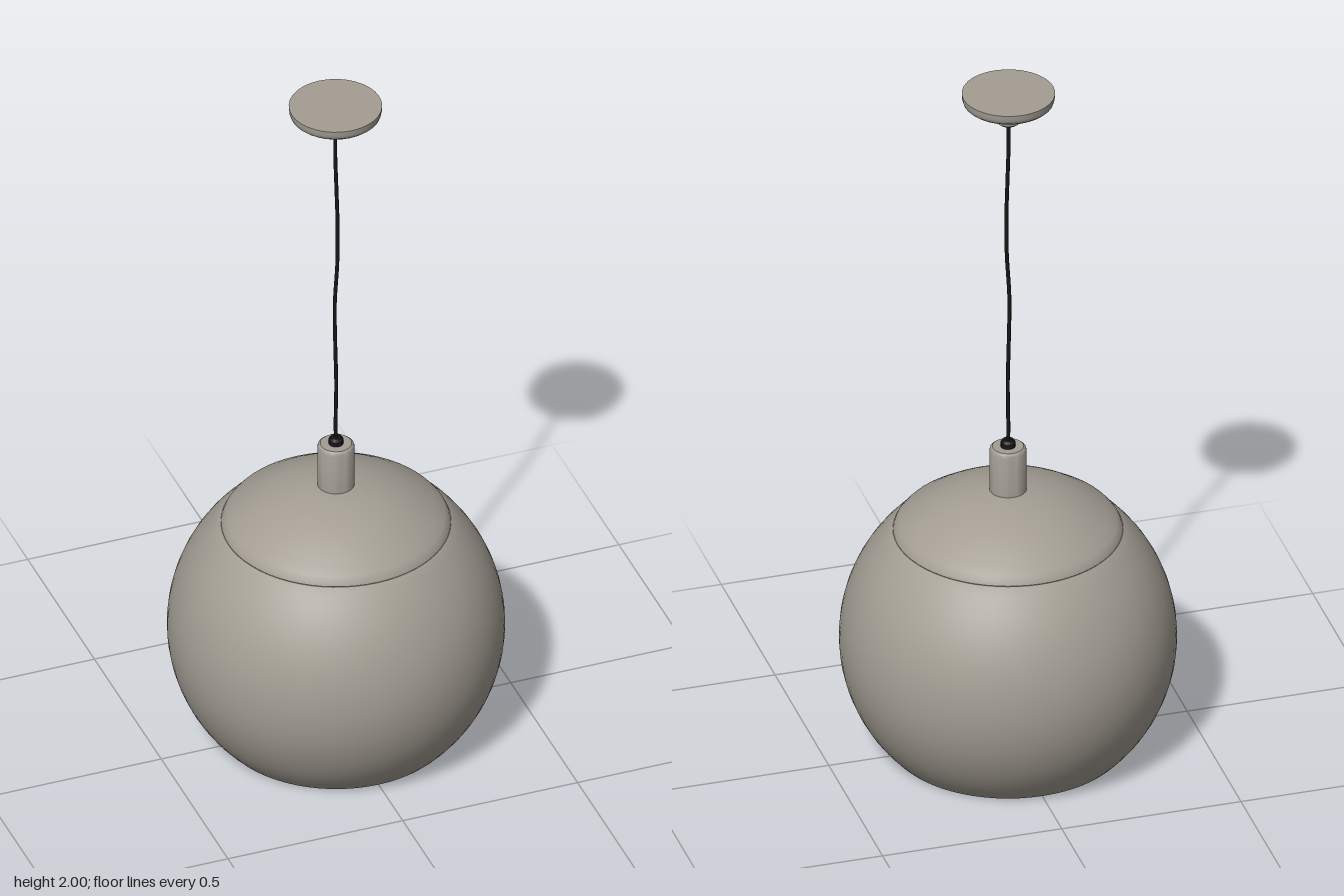
import * as THREE from 'three';
import { toCreasedNormals } from 'three/addons/utils/BufferGeometryUtils.js';

const SPHERE_R = 0.452, SPHERE_Y = 0.32;

export function createModel() {
  const group = new THREE.Group();
  const metal = new THREE.MeshStandardMaterial({ color: 0xa39d93 });
  metal.name = 'warm grey metal';
  const black = new THREE.MeshStandardMaterial({ color: 0x161616 });
  black.name = 'black cord';

  const add = (name, geometry, material) => {
    const mesh = new THREE.Mesh(geometry, material);
    mesh.name = name;
    group.add(mesh);
    return mesh;
  };
  // Profiles run from bottom to top along the outside
  const lathe = (points, segments) => toCreasedNormals(
    new THREE.LatheGeometry(points.map(([x, y]) => new THREE.Vector2(x, y)), segments), 0.6);
  // Arc of the globe between two heights
  const arc = (radius, y0, y1, steps) => {
    const a0 = Math.asin((y0 - SPHERE_Y) / radius), a1 = Math.asin((y1 - SPHERE_Y) / radius);
    return Array.from({ length: steps + 1 }, (_, i) => {
      const a = a0 + (a1 - a0) * i / steps;
      return [radius * Math.cos(a), SPHERE_Y + radius * Math.sin(a)];
    });
  };

  // Globe shade: thin shell, open at the bottom, with a soft lip at the top
  const outer = arc(SPHERE_R, 0, 0.645, 32);
  const inner = arc(SPHERE_R - 0.008, 0.64, 0, 32);
  add('shade', lathe([...outer, [0.308, 0.649], [0.302, 0.647], ...inner, outer[0]], 64), metal);

  // Domed cap set into the shade, its edge rolled down into the seam
  const capTop = arc(SPHERE_R + 0.004, 0.69, SPHERE_Y + SPHERE_R + 0.0039, 14);
  add('cap', lathe([[0, 0.762], [0.15, 0.735], [0.26, 0.672], [0.3, 0.642],
    [0.307, 0.65], [0.303, 0.66], [0.292, 0.673], ...capTop], 64), metal);

  // Neck and cord grip
  add('neck', lathe([[0, 0.76], [0.05, 0.76], [0.05, 0.893], [0.048, 0.9], [0.042, 0.905], [0, 0.905]], 32), metal);
  add('cordGrip', lathe([[0.02, 0.9], [0.02, 0.918], [0.014, 0.926], [0, 0.926]], 16), black);

  // Slightly wavy hanging cord
  const path = [[0, 0.91, 0], [0, 0.96, -0.003], [0.001, 1.1, -0.001], [-0.002, 1.22, 0],
    [-0.005, 1.36, 0.004], [0.002, 1.5, 0.005], [0.004, 1.62, 0.001], [0.003, 1.72, -0.004],
    [0, 1.85, -0.006], [0, 1.92, -0.004]].map(p => new THREE.Vector3(...p));
  add('cord', new THREE.TubeGeometry(new THREE.CatmullRomCurve3(path), 60, 0.0055, 8), black);

  // Ceiling canopy with a recessed underside and a stepped hub
  const canopy = add('canopy', lathe([[0, 1.908], [0.026, 1.908], [0.034, 1.915], [0.036, 1.94],
    [0.04, 1.946], [0.065, 1.953], [0.075, 1.966], [0.1, 1.965], [0.113, 1.968],
    [0.121, 1.975], [0.124, 1.985], [0.125, 2], [0, 2]], 32), metal);
  canopy.position.z = -0.004;

  return group;
}
